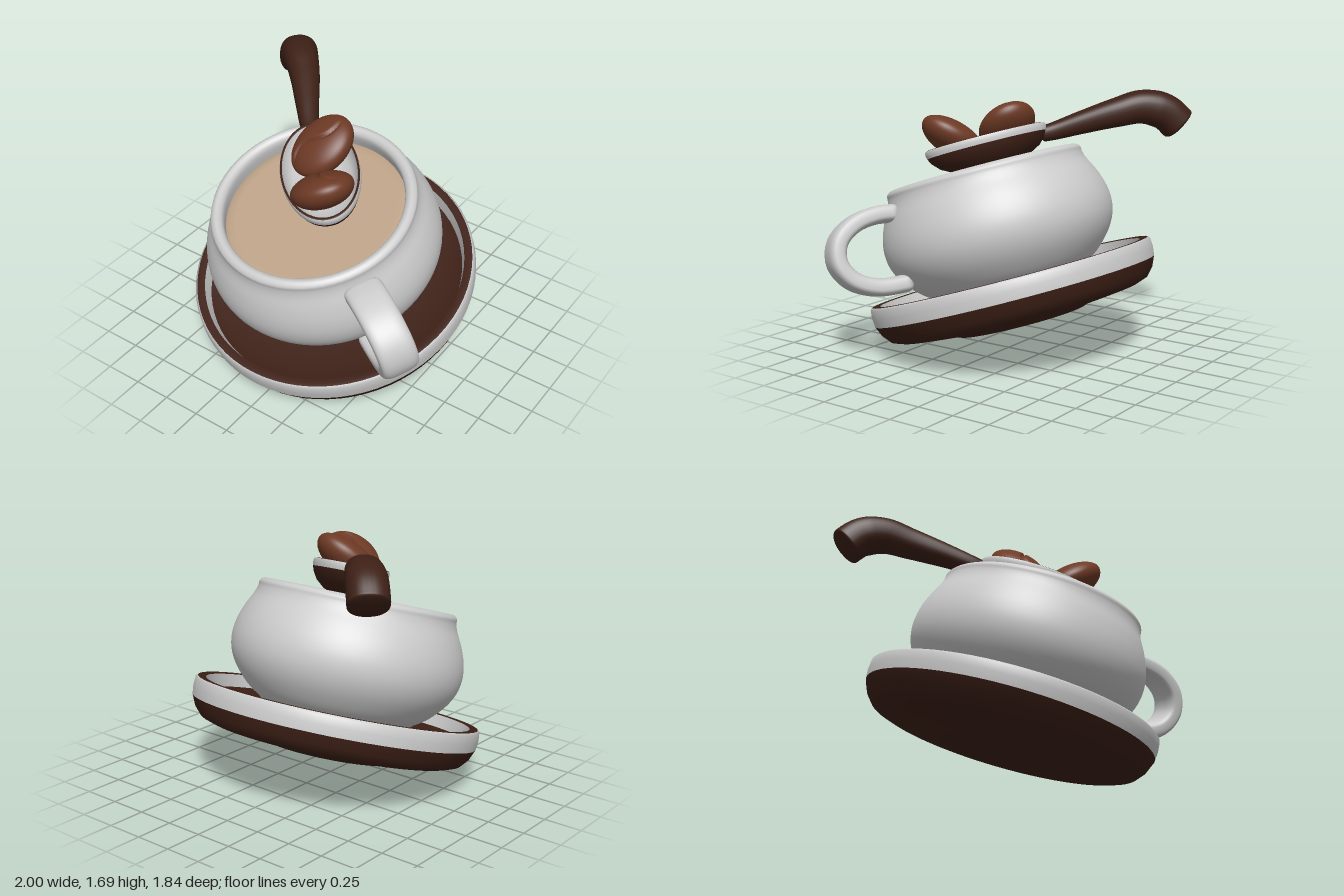
import * as THREE from 'three';

const material = (color) => new THREE.MeshStandardMaterial({ color, side: THREE.DoubleSide });
const WHITE = material(0xcccccc), BROWN = material(0x3d2016), COFFEE = material(0xbba186), BEAN = material(0x6e3a25);
const V = (x, y, z) => new THREE.Vector3(x, y, z);

function part(parent, name, geometry, mat) {
  const mesh = new THREE.Mesh(geometry, mat);
  mesh.name = name;
  parent.add(mesh);
  return mesh;
}

// Turned part; a smooth profile is run through a spline first
function lathe(points, smooth = false) {
  let p = points.map(([r, h]) => new THREE.Vector2(r, h));
  if (smooth) p = new THREE.SplineCurve(p).getPoints(64).map((q) => q.setX(Math.max(q.x, 0)));
  return new THREE.LatheGeometry(p, 72);
}

// Sweep along a curve with a rounded section of varying half width / half thickness.
// side is the fixed width direction; power below 1 squares the section off.
function sweep(points, side, size, power, round) {
  const curve = new THREE.CatmullRomCurve3(points), N = 64, M = 32, pos = [], idx = [];
  const bulge = (v) => Math.sign(v) * Math.abs(v) ** power;
  for (let i = 0; i <= N; i++) {
    const t = (1 - Math.cos((Math.PI * i) / N)) / 2;
    const c = curve.getPointAt(t), up = curve.getTangentAt(t).cross(side).normalize();
    const e = Math.max(0, 1 - Math.min(t, 1 - t) / round);
    const k = Math.max(0.001, Math.sqrt(1 - e * e));
    const [w, h] = size(t);
    for (let j = 0; j < M; j++) {
      const a = (j / M) * Math.PI * 2;
      const p = c.clone().addScaledVector(side, w * k * bulge(Math.cos(a))).addScaledVector(up, h * k * bulge(Math.sin(a)));
      pos.push(p.x, p.y, p.z);
      if (i < N) {
        const q = i * M + j, r = i * M + ((j + 1) % M);
        idx.push(q, r, q + M, r, r + M, q + M);
      }
    }
  }
  const g = new THREE.BufferGeometry();
  g.setAttribute('position', new THREE.Float32BufferAttribute(pos, 3));
  g.setIndex(idx);
  g.computeVertexNormals();
  return g;
}

// Coffee bean: ball with a flatter face carrying an S-shaped groove that fades out near the edge
function beanGeometry() {
  const g = new THREE.SphereGeometry(1, 72, 64), p = g.attributes.position;
  for (let i = 0; i < p.count; i++) {
    const x = p.getX(i), y = p.getY(i), z = p.getZ(i);
    const d = (z - 0.2 * Math.sin(x * 3.6)) / 0.06;
    const groove = 0.016 * Math.exp(-d * d) * THREE.MathUtils.smoothstep(y, 0.4, 0.75);
    p.setXYZ(i, x * 0.23, y * (y > 0 ? 0.1 : 0.122) - groove, z * 0.19);
  }
  g.computeVertexNormals();
  return g;
}

export function createModel() {
  const model = new THREE.Group();
  model.name = 'coffeeCup';

  // Cup, saucer and spoon bowl share one forward-leaning axis
  const tilted = new THREE.Group();
  tilted.name = 'tiltedSet';
  tilted.rotation.x = THREE.MathUtils.degToRad(18);
  tilted.position.set(-0.045, 0.042, -0.128);
  model.add(tilted);

  // Saucer
  const saucer = new THREE.Group();
  saucer.name = 'saucer';
  tilted.add(saucer);
  part(saucer, 'saucerBase', lathe([[0, 0.165], [0.3, 0.162], [0.37, 0.15], [0.43, 0.153], [0.5, 0.178], [0.68, 0.2],
    [0.82, 0.22], [0.875, 0.24], [0.92, 0.292], [0.95, 0.362]]), BROWN);
  part(saucer, 'saucerBand', lathe([[0.95, 0.362], [0.956, 0.42], [0.952, 0.475], [0.938, 0.488]]), WHITE);
  part(saucer, 'saucerRim', lathe([[0.938, 0.488], [0.915, 0.49], [0.885, 0.485]]), BROWN);
  part(saucer, 'saucerInnerWall', lathe([[0.885, 0.485], [0.872, 0.44], [0.862, 0.4]]), WHITE);
  part(saucer, 'saucerFloor', lathe([[0.867, 0.4], [0.8, 0.372], [0.65, 0.35], [0.45, 0.34], [0, 0.338]]), BROWN);

  // Cup
  const cup = new THREE.Group();
  cup.name = 'cup';
  tilted.add(cup);
  part(cup, 'cupFoot', lathe([[0.475, 0.335], [0.468, 0.38], [0.46, 0.44]]), WHITE);
  part(cup, 'cupBody', lathe([[0, 0.4], [0.44, 0.405], [0.53, 0.44], [0.615, 0.5], [0.705, 0.6], [0.757, 0.7], [0.773, 0.8],
    [0.76, 0.9], [0.725, 1.0], [0.68, 1.09], [0.664, 1.14], [0.66, 1.175], [0.628, 1.197], [0.594, 1.18],
    [0.582, 1.14], [0.59, 1.05]], true), WHITE);
  part(cup, 'coffee', lathe([[0.588, 1.068], [0.56, 1.08], [0.52, 1.083], [0, 1.083]]), COFFEE);

  const cupHandle = part(cup, 'cupHandle', sweep(
    [[0.645, 1.045], [0.8, 1.065], [0.96, 1.04], [1.08, 0.955], [1.115, 0.83], [1.055, 0.705], [0.91, 0.62], [0.67, 0.592]]
      .map(([r, h]) => V(r, h, 0)),
    V(0, 0, 1), () => [0.122, 0.058], 0.6, 0.05), WHITE);
  cupHandle.rotation.y = THREE.MathUtils.degToRad(-31.5);

  // Spoon bowl, an oval version of the saucer
  const bowl = new THREE.Group();
  bowl.name = 'spoonBowl';
  bowl.position.set(0.03, 1.385, -0.105);
  bowl.rotation.y = THREE.MathUtils.degToRad(-46);
  bowl.scale.set(0.41, 1, 0.25);
  tilted.add(bowl);
  part(bowl, 'bowlUnderside', lathe([[0, -0.216], [0.3, -0.21], [0.6, -0.182], [0.82, -0.135], [0.94, -0.085], [0.985, -0.05]]), BROWN);
  part(bowl, 'bowlBand', lathe([[0.985, -0.05], [1, -0.03], [1, -0.01], [0.985, 0]]), WHITE);
  part(bowl, 'bowlRim', lathe([[0.985, 0], [0.965, 0.003], [0.935, 0]]), BROWN);
  part(bowl, 'bowlInside', lathe([[0.935, 0], [0.89, -0.045], [0.75, -0.1], [0.45, -0.138], [0, -0.15]]), WHITE);

  // Spoon handle, thickening towards the drooping end
  part(model, 'spoonHandle', sweep(
    [V(-0.26, 1.405, -0.07), V(-0.33, 1.425, -0.13), V(-0.45, 1.48, -0.27), V(-0.6, 1.545, -0.45),
      V(-0.72, 1.58, -0.575), V(-0.825, 1.545, -0.685), V(-0.9, 1.45, -0.765)],
    V(0.73, 0, -0.68),
    (t) => { const r = 0.052 + 0.072 * Math.min(1, t * 1.25); return [r, r * 0.97]; }, 0.85, 0.025), BROWN);

  // Beans: centre, long axis, normal of the grooved face
  const geometry = beanGeometry();
  [
    [V(-0.085, 1.475, 0.075), V(0.49, 0.63, -0.6), V(-0.25, 0.75, 0.6)],
    [V(0.12, 1.4, 0.363), V(0.8, 0.53, 0.3), V(-0.5, 0.83, -0.2)],
  ].forEach(([centre, axis, up], i) => {
    const bean = part(model, i ? 'frontBean' : 'backBean', geometry, BEAN);
    const across = axis.normalize().clone().cross(up).normalize();
    const normal = across.clone().cross(axis);
    bean.quaternion.setFromRotationMatrix(new THREE.Matrix4().makeBasis(axis, normal, across));
    bean.position.copy(centre);
  });

  return model;
}
